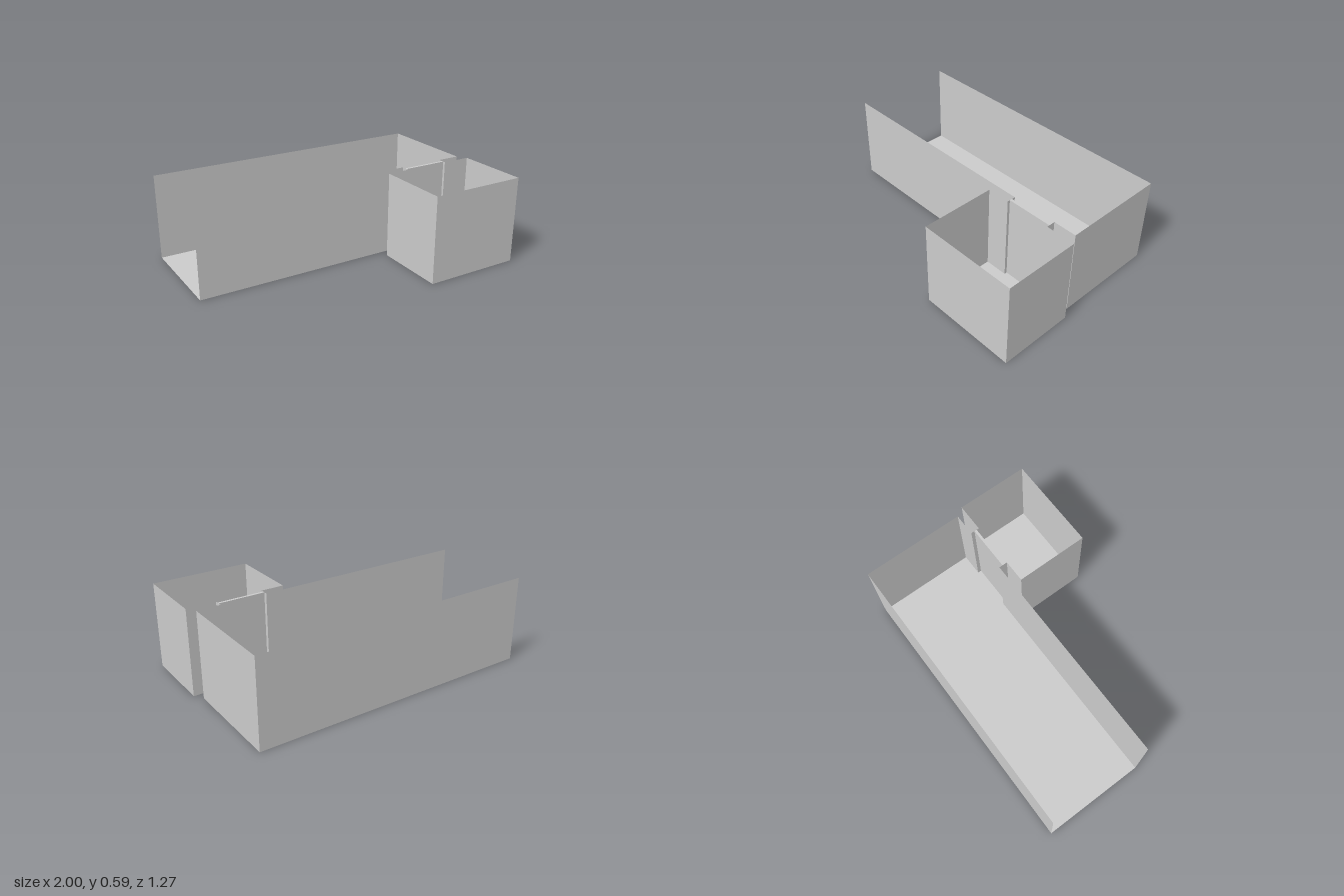
import * as THREE from 'three';

const H = 0.59;                                   // wall height
const BIG = { x0: -1, x1: 0.96, z0: -0.635, z1: 0.07 };
const SMALL = { x0: 0.335, x1: 1, z0: 0.13, z1: 0.632 };
const DOOR = { x0: 0.49, x1: 0.803, z0: 0.095, z1: 0.112 };

export function createModel() {
  const model = new THREE.Group();
  const material = new THREE.MeshStandardMaterial({ color: 0xcccccc, side: THREE.DoubleSide, flatShading: true });

  const add = (parent, name, geometry) => {
    const mesh = new THREE.Mesh(geometry, material);
    mesh.name = name;
    parent.add(mesh);
    return mesh;
  };
  // Paper-thin upright wall between two plan points
  const wall = (parent, name, xa, za, xb, zb) => {
    const mesh = add(parent, name, new THREE.PlaneGeometry(Math.hypot(xb - xa, zb - za), H));
    mesh.position.set((xa + xb) / 2, H / 2, (za + zb) / 2);
    mesh.rotation.y = -Math.atan2(zb - za, xb - xa);
  };
  const floor = (parent, name, x0, x1, z0, z1) => {
    const mesh = add(parent, name, new THREE.PlaneGeometry(x1 - x0, z1 - z0).rotateX(-Math.PI / 2));
    mesh.position.set((x0 + x1) / 2, 0, (z0 + z1) / 2);
  };
  const group = (name) => {
    const g = new THREE.Group();
    g.name = name;
    model.add(g);
    return g;
  };

  // Long room, open at its -x end, with a doorway in its front wall
  const big = group('longRoom');
  floor(big, 'longRoomFloor', BIG.x0, BIG.x1, BIG.z0, BIG.z1);
  wall(big, 'backWall', BIG.x0, BIG.z0, BIG.x1, BIG.z0);
  wall(big, 'endWall', BIG.x1, BIG.z0, BIG.x1, BIG.z1);
  wall(big, 'frontWallLong', BIG.x0, BIG.z1, DOOR.x0, BIG.z1);
  wall(big, 'frontWallShort', DOOR.x1, BIG.z1, BIG.x1, BIG.z1);

  // Small room with a matching doorway in its back wall
  const small = group('smallRoom');
  floor(small, 'smallRoomFloor', SMALL.x0, SMALL.x1, SMALL.z0, SMALL.z1);
  wall(small, 'outerWall', SMALL.x0, SMALL.z1, SMALL.x1, SMALL.z1);
  for (const x of [SMALL.x0, SMALL.x1]) wall(small, 'sideWall', x, SMALL.z0, x, SMALL.z1);
  wall(small, 'doorWallA', SMALL.x0, SMALL.z0, DOOR.x0, SMALL.z0);
  wall(small, 'doorWallB', DOOR.x1, SMALL.z0, SMALL.x1, SMALL.z0);

  // Doorway: threshold, jambs and a closed pair of door leaves
  const doorway = group('doorway');
  floor(doorway, 'threshold', DOOR.x0, DOOR.x1, BIG.z1, SMALL.z0);
  for (const x of [DOOR.x0, DOOR.x1]) wall(doorway, 'jamb', x, BIG.z1, x, SMALL.z0);
  const leafWidth = (DOOR.x1 - DOOR.x0) / 2;
  for (const i of [0, 1]) {
    const leaf = add(doorway, 'doorLeaf', new THREE.BoxGeometry(leafWidth, H, DOOR.z1 - DOOR.z0));
    leaf.position.set(DOOR.x0 + (i + 0.5) * leafWidth, H / 2, (DOOR.z0 + DOOR.z1) / 2);
  }

  return model;
}
